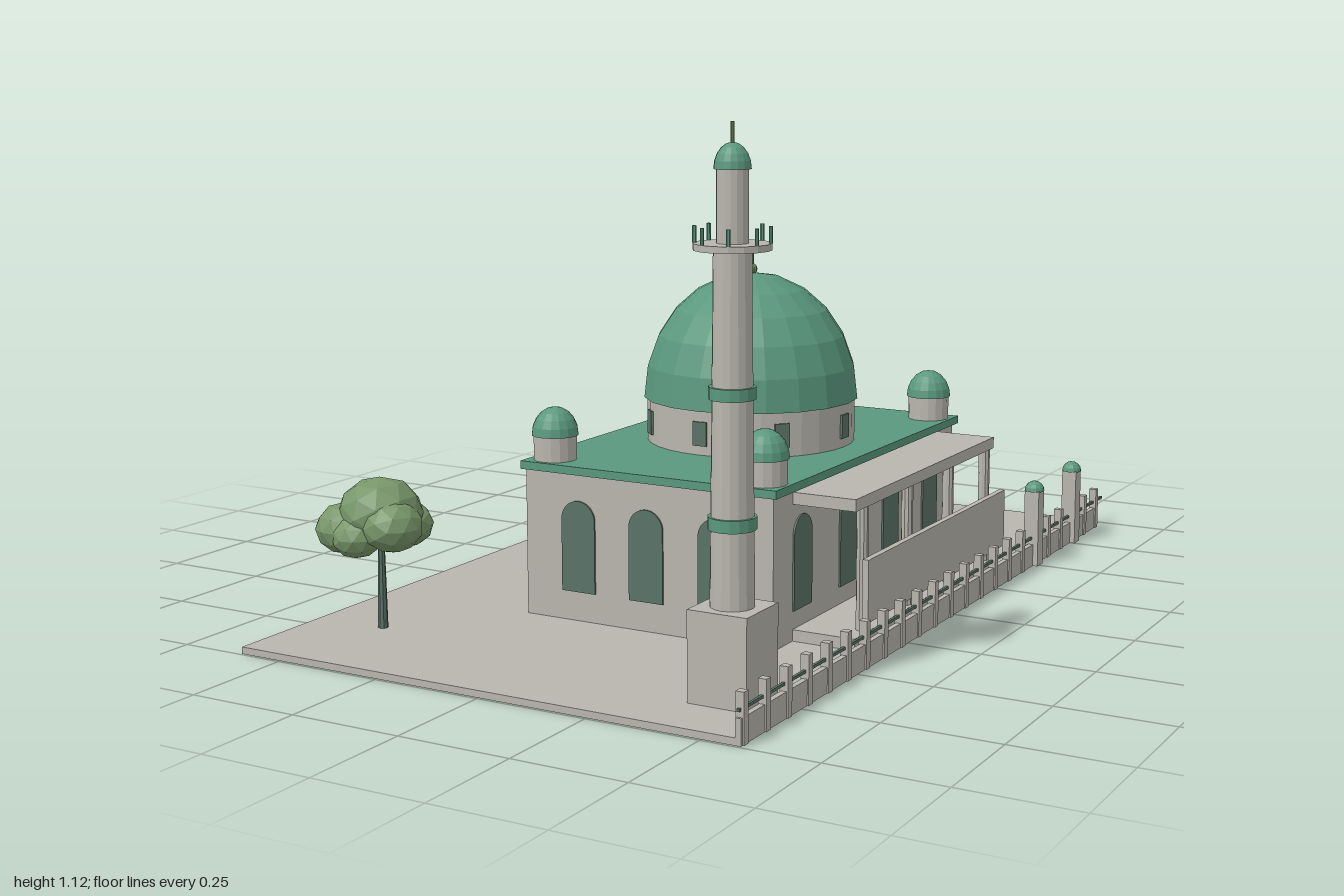
import * as THREE from 'three';

const mat = (name, color, flatShading = false) => {
  const m = new THREE.MeshStandardMaterial({ color, flatShading });
  m.name = name;
  return m;
};

export function createModel() {
  const root = new THREE.Group();
  root.name = 'mosque';
  const stone = mat('stone', 0xb9b6ae, true);
  const green = mat('domeGreen', 0x5a987e, true);
  const dark = mat('darkGreen', 0x5a7268, true);
  const leaf = mat('leaf', 0x78966a, true);
  const olive = mat('oliveMetal', 0x6e8f5c, true);

  const add = (name, geo, m, x, y, z, parent = root) => {
    const mesh = new THREE.Mesh(geo, m);
    mesh.name = name;
    mesh.position.set(x, y, z);
    parent.add(mesh);
    return mesh;
  };
  // box given by its minimum and maximum corners
  const box = (name, m, x0, x1, y0, y1, z0, z1) =>
    add(name, new THREE.BoxGeometry(x1 - x0, y1 - y0, z1 - z0), m, (x0 + x1) / 2, (y0 + y1) / 2, (z0 + z1) / 2);
  // upright cylinder standing on y0
  const cyl = (name, m, x, z, y0, y1, rBottom, rTop = rBottom, sides = 16) =>
    add(name, new THREE.CylinderGeometry(rTop, rBottom, y1 - y0, sides), m, x, (y0 + y1) / 2, z);
  // half-ellipsoid with a closed base
  const dome = (name, x, y, z, r, h, sides, rings) => {
    const points = [new THREE.Vector2(0, 0)];
    for (let i = 0; i <= rings; i++) {
      const a = (i / rings) * Math.PI / 2;
      points.push(new THREE.Vector2(i === rings ? 0 : r * Math.cos(a), h * Math.sin(a)));
    }
    return add(name, new THREE.LatheGeometry(points, sides), green, x, y, z);
  };

  const cx = 0.08, cz = 0.02;

  // ground and hall
  box('groundSlab', stone, -0.602, 0.582, 0, 0.015, -0.952, 0.995);
  box('hallWalls', stone, -0.225, 0.385, 0.015, 0.34, -0.445, 0.49);
  box('hallRoof', green, -0.235, 0.395, 0.34, 0.358, -0.457, 0.498);

  // arched windows on the front, back and portico sides
  const w = 0.042;
  const arch = new THREE.Shape();
  arch.moveTo(-w, 0.08);
  arch.lineTo(w, 0.08);
  arch.lineTo(w, 0.24);
  arch.absarc(0, 0.24, w, 0, Math.PI, false);
  arch.lineTo(-w, 0.08);
  const archGeo = new THREE.ExtrudeGeometry(arch, { depth: 0.008, bevelEnabled: false, curveSegments: 10 });
  archGeo.translate(0, 0, -0.004);
  for (const x of [-0.09, 0.08, 0.25]) {
    add('frontWindow', archGeo, dark, x, 0, 0.49);
    add('backWindow', archGeo, dark, x, 0, -0.445);
  }
  for (const z of [0.36, 0.138, -0.084, -0.306]) {
    add('sideWindow', archGeo, dark, 0.385, 0, z).rotation.y = Math.PI / 2;
  }

  // main dome on a drum with eight small windows
  cyl('drum', stone, cx, cz, 0.358, 0.457, 0.238, 0.238, 32);
  for (let i = 0; i < 8; i++) {
    const a = i * Math.PI / 4;
    const pane = add('drumWindow', new THREE.BoxGeometry(0.034, 0.054, 0.009), dark,
      cx + Math.sin(a) * 0.237, 0.406, cz + Math.cos(a) * 0.237);
    pane.rotation.y = a;
  }
  dome('mainDome', cx, 0.457, cz, 0.246, 0.284, 20, 6);
  add('finialBall', new THREE.SphereGeometry(0.014, 10, 8), olive, cx, 0.748, cz);
  cyl('finialRod', olive, cx, cz, 0.74, 0.8, 0.006, 0.006, 8);

  // corner turrets
  for (const x of [-0.18, 0.34]) for (const z of [-0.402, 0.442]) {
    cyl('turret', stone, x, z, 0.358, 0.415, 0.048);
    dome('turretDome', x, 0.412, z, 0.052, 0.062, 16, 5);
  }

  // portico and the free screen panel beside it
  box('porticoFloor', stone, 0.385, 0.53, 0.015, 0.04, -0.353, 0.402);
  box('porticoRoof', stone, 0.385, 0.53, 0.31, 0.336, -0.353, 0.402);
  for (const z of [0.33, 0.103, -0.123, -0.34]) {
    cyl('porticoColumn', stone, 0.512, z, 0.04, 0.31, 0.013, 0.013, 10);
  }
  box('screenPanel', stone, 0.546, 0.56, 0.078, 0.212, -0.353, 0.402);

  // minaret
  const mx = 0.459, mz = 0.8;
  box('minaretBase', stone, mx - 0.064, mx + 0.066, 0.015, 0.2, mz - 0.064, mz + 0.064);
  cyl('minaretShaft', stone, mx, mz, 0.2, 0.885, 0.044, 0.037);
  cyl('minaretBand', green, mx, mz, 0.352, 0.377, 0.048);
  cyl('minaretBand', green, mx, mz, 0.603, 0.627, 0.046);
  cyl('balcony', stone, mx, mz, 0.885, 0.898, 0.075);
  for (let i = 0; i < 8; i++) {
    const a = (i + 0.5) * Math.PI / 4;
    cyl('balconyPost', green, mx + Math.sin(a) * 0.072, mz + Math.cos(a) * 0.072, 0.898, 0.93, 0.004, 0.004, 6);
  }
  cyl('minaretTop', stone, mx, mz, 0.898, 1.04, 0.031);
  dome('minaretDome', mx, 1.036, mz, 0.036, 0.05, 16, 5);
  cyl('minaretFinial', olive, mx, mz, 1.08, 1.124, 0.004, 0.004, 8);

  // boundary wall: low wall, regular posts, two domed gate posts and a rail
  const fx = 0.578;
  box('lowWall', stone, fx - 0.006, fx + 0.006, 0, 0.053, -0.947, 0.995);
  for (let i = 0; i < 23; i++) {
    const z = 0.98 - i * 0.0873;
    if (i === 17 || i === 20) {
      box('gatePost', stone, fx - 0.018, fx + 0.018, 0, 0.185, z - 0.018, z + 0.018);
      dome('gatePostCap', fx, 0.183, z, 0.024, 0.024, 12, 4);
    } else {
      box('wallPost', stone, fx - 0.009, fx + 0.009, 0, 0.102, z - 0.009, z + 0.009);
    }
  }
  box('wallRail', dark, fx - 0.003, fx + 0.003, 0.065, 0.071, -1, 0.995);

  // trees: tapered trunk and clustered faceted foliage [dx, y, dz, radius]
  const blobs = [
    [0, 0.268, 0, 0.092], [-0.065, 0.235, 0.035, 0.066], [0.055, 0.25, 0.03, 0.066],
    [0.025, 0.235, -0.055, 0.06], [-0.02, 0.225, 0.055, 0.055],
  ];
  const blobGeo = new THREE.IcosahedronGeometry(1, 1);
  [[-0.435, 0.735, 0], [-0.437, -0.705, 0.5], [-0.28, -0.835, 2.6]].forEach(([x, z, turn]) => {
    const tree = new THREE.Group();
    tree.name = 'tree';
    tree.position.set(x, 0, z);
    tree.rotation.y = turn;
    root.add(tree);
    add('trunk', new THREE.CylinderGeometry(0.007, 0.011, 0.205, 8), dark, 0, 0.1175, 0, tree);
    blobs.forEach(([dx, y, dz, r], i) => {
      const blob = add('foliage', blobGeo, leaf, dx, y, dz, tree);
      blob.scale.set(r, r * 0.85, r);
      blob.rotation.y = i * 1.3;
    });
  });

  return root;
}
